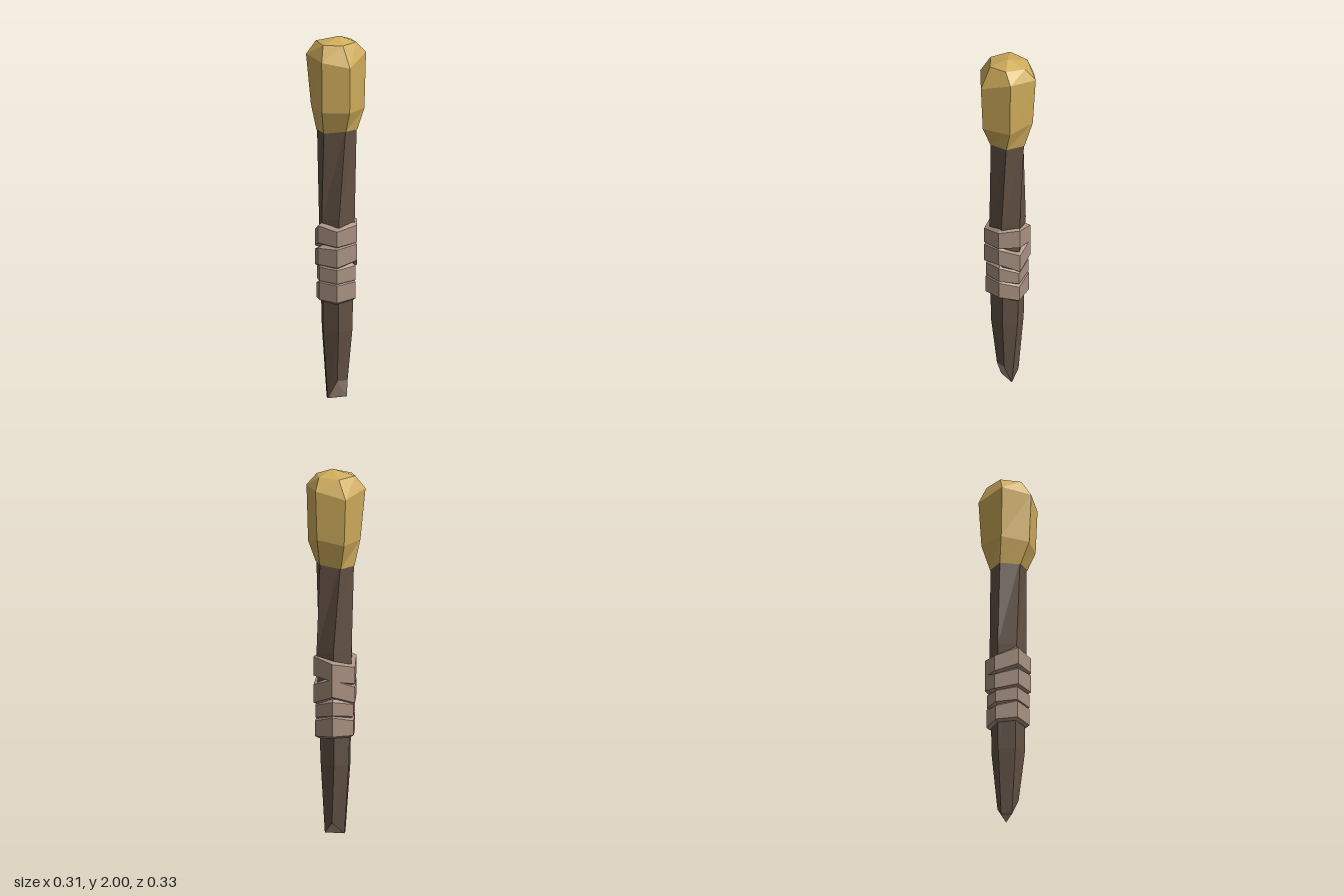
import * as THREE from 'three';

// Skin a stack of six-point rings (bottom to top), optionally closed by an apex
function loft(rings, apex) {
  const pos = [];
  const tri = (...pts) => pts.forEach((p) => pos.push(...p));
  for (let r = 0; r < rings.length - 1; r++) {
    const lo = rings[r], hi = rings[r + 1];
    lo.forEach((a, i) => {
      const j = (i + 1) % lo.length;
      tri(a, lo[j], hi[j]);
      tri(a, hi[j], hi[i]);
    });
  }
  if (apex) {
    const top = rings[rings.length - 1];
    top.forEach((a, i) => tri(a, top[(i + 1) % top.length], apex));
  }
  return facets(pos);
}

function facets(pos) {
  const g = new THREE.BufferGeometry();
  g.setAttribute('position', new THREE.Float32BufferAttribute(pos, 3));
  g.computeVertexNormals();
  return g;
}

// Combine a plan outline of [x, z] points with one height, or a height per corner
const ring = (plan, y) => plan.map(([x, z], i) => [x, Array.isArray(y) ? y[i] : y, z]);
const scaled = (plan, s) => plan.map(([x, z]) => [x * s, z * s]);

export function createModel() {
  const group = new THREE.Group();
  const paint = (name, color) => {
    const m = new THREE.MeshStandardMaterial({ color, flatShading: true, side: THREE.DoubleSide });
    m.name = name;
    return m;
  };
  const wood = paint('dark wood', 0x625144);
  const cloth = paint('pale wrap', 0xa99181);
  const gold = paint('golden head', 0xd0ad5c);
  const add = (name, geometry, material, parent = group) => {
    const mesh = new THREE.Mesh(geometry, material);
    mesh.name = name;
    parent.add(mesh);
  };

  // Handle: a slightly twisted six-sided stick, cut unevenly at the foot
  const foot = [
    [-0.015, 0.1, 0.055], [0.05, 0.1, 0.04], [0.06, 0, 0],
    [0.03, 0.06, -0.053], [-0.04, 0, -0.045], [-0.055, 0, 0.012],
  ];
  const lower = [[-0.02, 0.088], [0.07, 0.06], [0.086, -0.022], [0.025, -0.086], [-0.06, -0.065], [-0.085, 0.025]];
  const middle = [[-0.02, 0.097], [0.08, 0.07], [0.11, -0.025], [0.03, -0.096], [-0.075, -0.07], [-0.095, 0.03]];
  const upper = [[0.015, 0.105], [0.098, 0.05], [0.096, -0.056], [-0.01, -0.098], [-0.09, -0.06], [-0.09, 0.05]];
  add('handle', loft([foot, ring(lower, 0.38), ring(middle, 1.0), ring(upper, 1.5)]), wood);

  // Freshly cut facets at the foot
  const cut = [[0, 5, 2], [0, 2, 1], [2, 5, 4], [2, 4, 3]];
  add('footCut', facets(cut.flat().flatMap((i) => foot[i])), cloth);

  // Wraps: four uneven bands, each with top and bottom heights per corner
  const wraps = new THREE.Group();
  wraps.name = 'gripWraps';
  group.add(wraps);
  const bandPlan = [[-0.04, 0.12], [0.085, 0.092], [0.125, -0.02], [0.04, -0.12], [-0.09, -0.09], [-0.12, 0.035]];
  const bands = [
    { s: 0.93, bottom: [0.545, 0.56, 0.535, 0.545, 0.545, 0.555], top: [0.64, 0.65, 0.62, 0.65, 0.625, 0.65] },
    { s: 0.92, bottom: [0.65, 0.66, 0.64, 0.66, 0.65, 0.66], top: [0.725, 0.74, 0.705, 0.735, 0.715, 0.735] },
    { s: 1, bottom: [0.74, 0.77, 0.72, 0.765, 0.725, 0.75], top: [0.84, 0.86, 0.82, 0.86, 0.81, 0.84] },
    { s: 1, bottom: [0.855, 0.87, 0.87, 0.85, 0.83, 0.87], top: [0.94, 0.965, 0.975, 0.945, 0.92, 0.965] },
  ];
  bands.forEach(({ s, bottom, top }, i) => {
    const outer = scaled(bandPlan, s), inner = scaled(bandPlan, 0.76);
    const geometry = loft([
      ring(inner, bottom.map((y) => y - 0.012)), ring(outer, bottom),
      ring(outer, top), ring(inner, top.map((y) => y + 0.016)),
    ]);
    add('wrap' + (i + 1), geometry, cloth, wraps);
  });

  // Head: a bulbous faceted cap flaring out of the handle
  const neck = scaled(upper, 1.03);
  const flare = [[0.02, 0.155], [0.143, 0.05], [0.12, -0.097], [-0.02, -0.15], [-0.125, -0.06], [-0.118, 0.095]];
  const widest = [[0.018, 0.165], [0.152, 0.05], [0.13, -0.11], [-0.025, -0.167], [-0.153, -0.06], [-0.123, 0.105]];
  const crown = [[0, 0.102], [0.095, 0.052], [0.103, -0.06], [0.003, -0.118], [-0.097, -0.06], [-0.097, 0.056]];
  add('head', loft([
    ring(neck, [1.49, 1.485, 1.485, 1.465, 1.475, 1.475]),
    ring(flare, [1.6, 1.6, 1.63, 1.6, 1.62, 1.6]),
    ring(widest, [1.85, 1.91, 1.9, 1.855, 1.9, 1.88]),
    ring(crown, [1.965, 1.97, 1.965, 1.96, 1.97, 1.965]),
  ], [0.018, 2, 0.005]), gold);

  return group;
}
